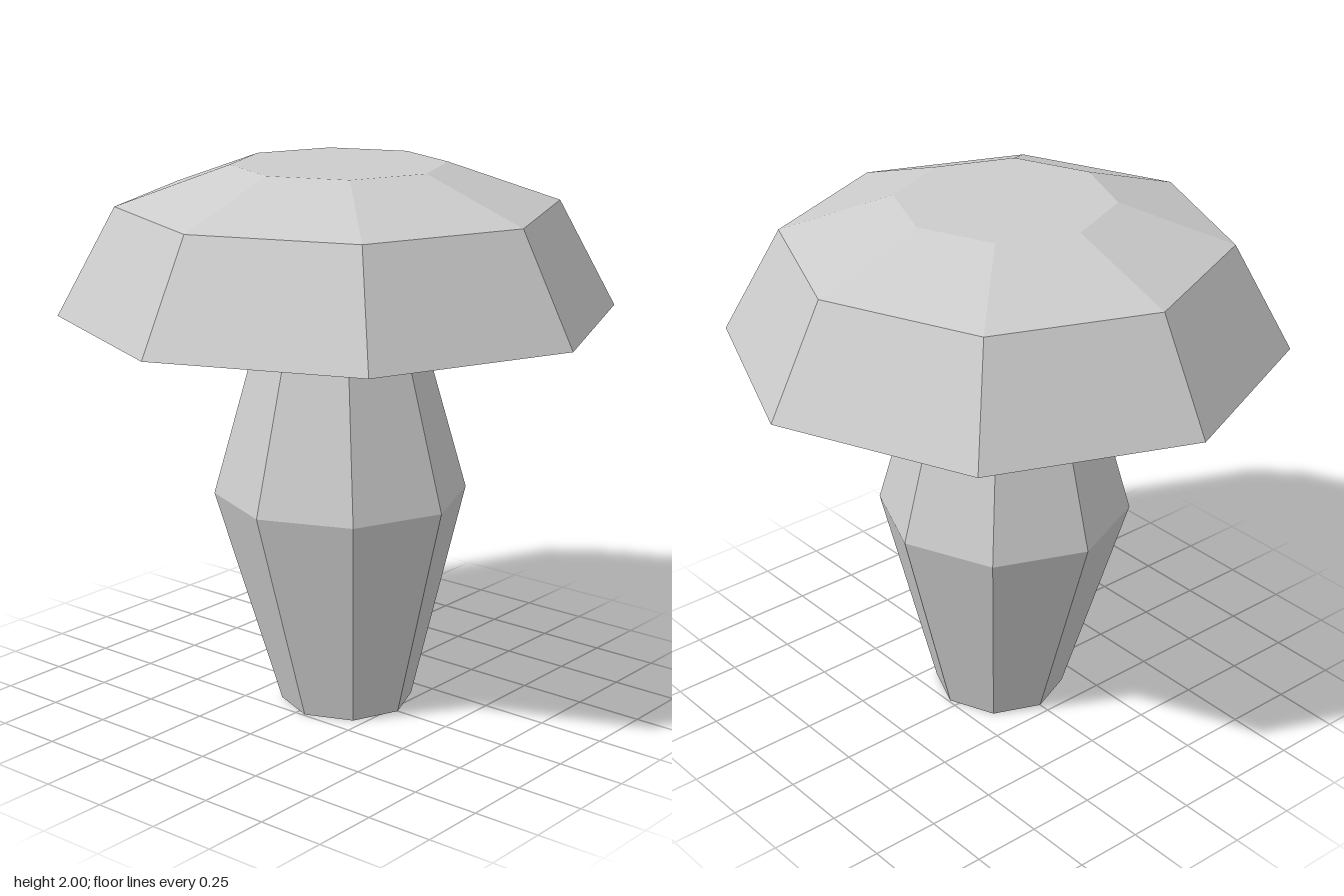
import * as THREE from 'three';

const SIDES = 8;

// Turns rings of [radius, y, x offset] into a faceted eight-sided shell.
function facetedShell(name, rings, material) {
  const points = rings.map(([r, y]) => new THREE.Vector2(r, y));
  const lathe = new THREE.LatheGeometry(points, SIDES);
  const pos = lathe.attributes.position;
  // Lathe vertices run ring by ring along the profile, so shift each by its own offset.
  for (let i = 0; i < pos.count; i++) {
    pos.setX(i, pos.getX(i) + rings[i % rings.length][2]);
  }
  const geometry = lathe.toNonIndexed();
  geometry.computeVertexNormals();
  const mesh = new THREE.Mesh(geometry, material);
  mesh.name = name;
  return mesh;
}

export function createModel() {
  const grey = new THREE.MeshStandardMaterial({
    color: 0xcccccc, flatShading: true, side: THREE.DoubleSide,
  });
  grey.name = 'light grey';

  const model = new THREE.Group();
  model.name = 'mushroom';

  // Stem: hollow, open at the foot, bulging in the middle, foot slightly off centre
  model.add(facetedShell('stem', [
    [0.243, 0, 0.037],
    [0.462, 0.802, 0.007],
    [0.31, 1.345, 0.005],
  ], grey));

  // Cap: shallow underside, sloped rim, bevelled crown with a flat top
  model.add(facetedShell('cap', [
    [0.31, 1.345, 0.005],
    [1, 1.472, 0],
    [0.79, 1.858, 0],
    [0.385, 2, 0],
    [0, 2, 0],
  ], grey));

  return model;
}
